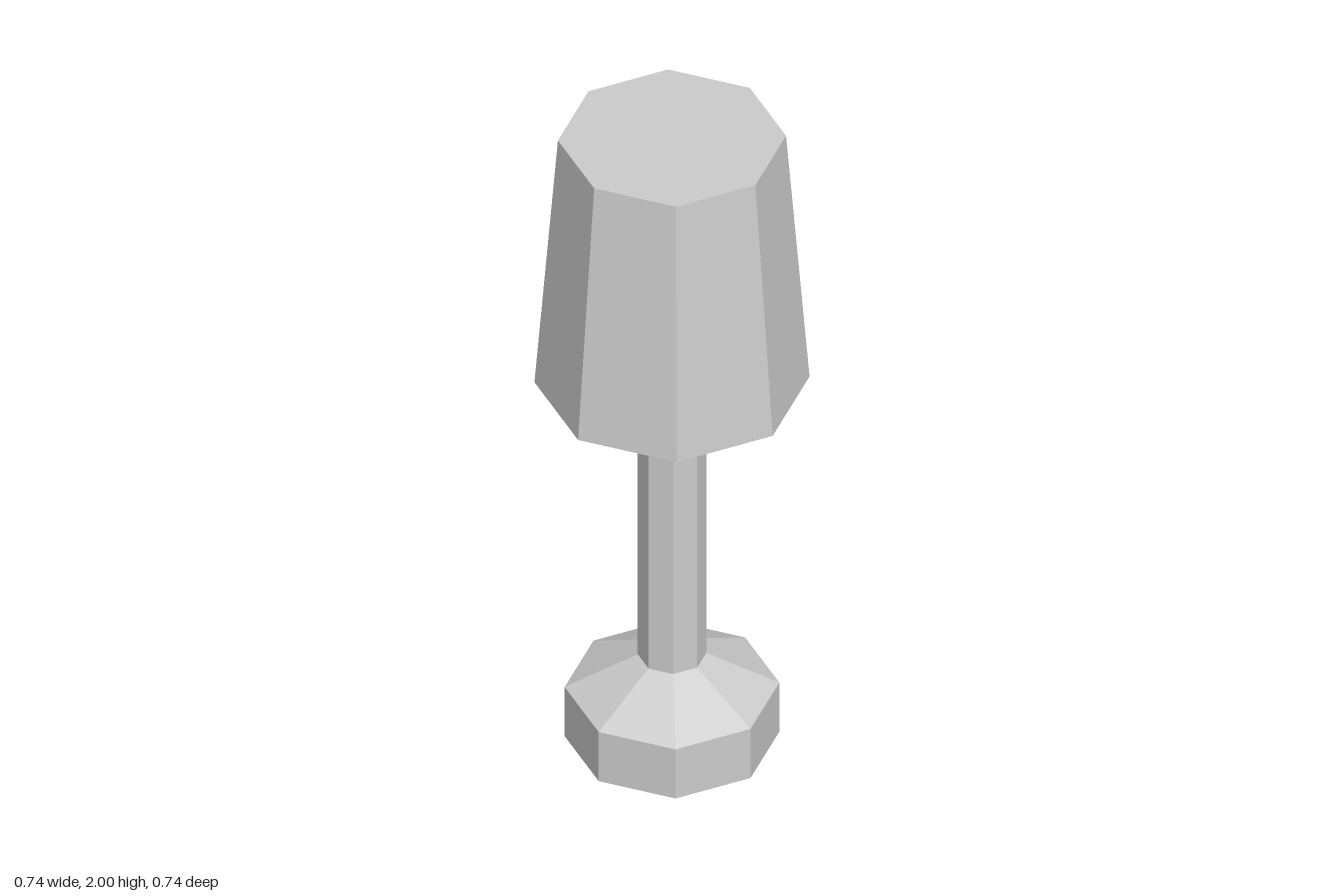
import * as THREE from 'three';

const SIDES = 8;

export function createModel() {
  const model = new THREE.Group();
  model.name = 'tableLamp';

  const grey = new THREE.MeshStandardMaterial({ color: 0xcccccc, flatShading: true });
  grey.name = 'lightGrey';

  // Eight-sided section between two heights, with a corner facing the front
  function addSection(name, bottomRadius, topRadius, bottomY, topY, open = false) {
    const height = topY - bottomY;
    const geometry = new THREE.CylinderGeometry(topRadius, bottomRadius, height, SIDES, 1, open);
    geometry.translate(0, bottomY + height / 2, 0);
    const mesh = new THREE.Mesh(geometry, grey);
    mesh.name = name;
    model.add(mesh);
  }

  // Foot: a short block with a sloping collar above it
  addSection('base', 0.288, 0.288, 0, 0.165);
  addSection('baseCollar', 0.288, 0.092, 0.165, 0.27, true);

  // Stem between the collar and the shade
  addSection('stem', 0.092, 0.092, 0.27, 1.19, true);

  // Closed, tapering shade
  addSection('shade', 0.369, 0.306, 1.19, 2);

  return model;
}
